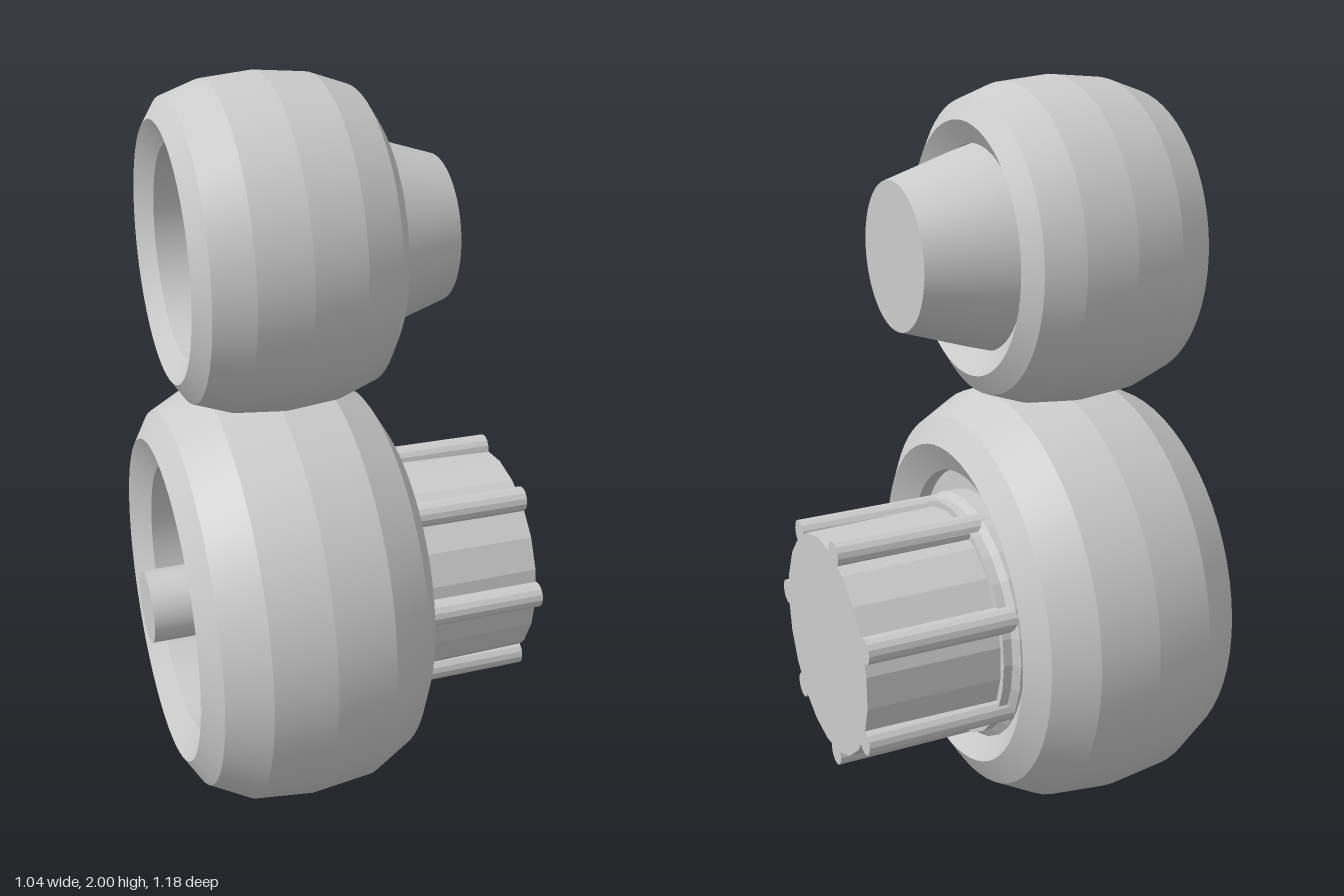
import * as THREE from 'three';
import { toCreasedNormals } from 'three/addons/utils/BufferGeometryUtils.js';

const material = new THREE.MeshStandardMaterial({ color: 0xcccccc });

// Revolves [x, radius] pairs around an axis parallel to x
function turned(name, profile, y, z, sides = 64, crease = 0.13) {
  const points = profile.map(([x, r]) => new THREE.Vector2(r, x));
  const geometry = new THREE.LatheGeometry(points, sides).rotateZ(-Math.PI / 2);
  const mesh = new THREE.Mesh(toCreasedNormals(geometry, crease), material);
  mesh.name = name;
  mesh.position.set(0, y, z);
  return mesh;
}

// Barrel-shaped ring: outer bands, bevelled rims and a round bore
function ring(name, centreX, steps, bore, lip, y) {
  const outer = [
    ...steps.map(([dx, r]) => [centreX - dx, r]),
    ...steps.slice(0, -1).reverse().map(([dx, r]) => [centreX + dx, r]),
  ];
  const half = steps[0][0] - lip;
  return turned(name, [...outer, [centreX + half, bore], [centreX - half, bore], outer[0]], y, 0);
}

export function createModel() {
  const model = new THREE.Group();

  // Upper wheel with its tapered plug
  model.add(ring('upperWheel', -0.17,
    [[0.265, 0.325], [0.23, 0.378], [0.133, 0.412], [0, 0.424]], 0.265, 0.04, 1.576));
  model.add(turned('taperedPlug', [
    [0.03, 0], [0.03, 0.268], [0.095, 0.25], [0.285, 0.19], [0.285, 0],
  ], 1.576, 0));

  // Lower wheel
  model.add(ring('lowerWheel', -0.168,
    [[0.314, 0.445], [0.27, 0.517], [0.16, 0.575], [0, 0.592]], 0.365, 0.05, 0.592));

  // Ribbed knob, slightly off the wheel's centre
  const knobY = 0.56, knobZ = -0.023;
  model.add(turned('backPlate', [
    [0.02, 0], [0.02, 0.364], [0.06, 0.364], [0.06, 0],
  ], 0.592, 0));
  model.add(turned('knobFlange', [
    [0.05, 0], [0.05, 0.345], [0.11, 0.345], [0.125, 0.325], [0.15, 0.325], [0.15, 0],
  ], knobY, knobZ, 28));
  model.add(turned('knobBody', [
    [0.06, 0], [0.06, 0.31], [0.517, 0.3], [0.517, 0],
  ], knobY, knobZ, 21));

  const ribs = new THREE.Group();
  ribs.name = 'knobRibs';
  const count = 7;
  for (let i = 0; i < count; i++) {
    const a = -0.295 + (i / count) * Math.PI * 2;
    ribs.add(turned('rib', [
      [0.06, 0], [0.06, 0.037], [0.517, 0.035], [0.517, 0],
    ], knobY + 0.309 * Math.cos(a), knobZ + 0.309 * Math.sin(a), 14));
  }
  model.add(ribs);

  // Axle running out through the bore
  model.add(turned('axle', [
    [-0.52, 0], [-0.52, 0.1], [0.03, 0.1], [0.03, 0],
  ], knobY, knobZ, 32, 0.4));

  return model;
}
